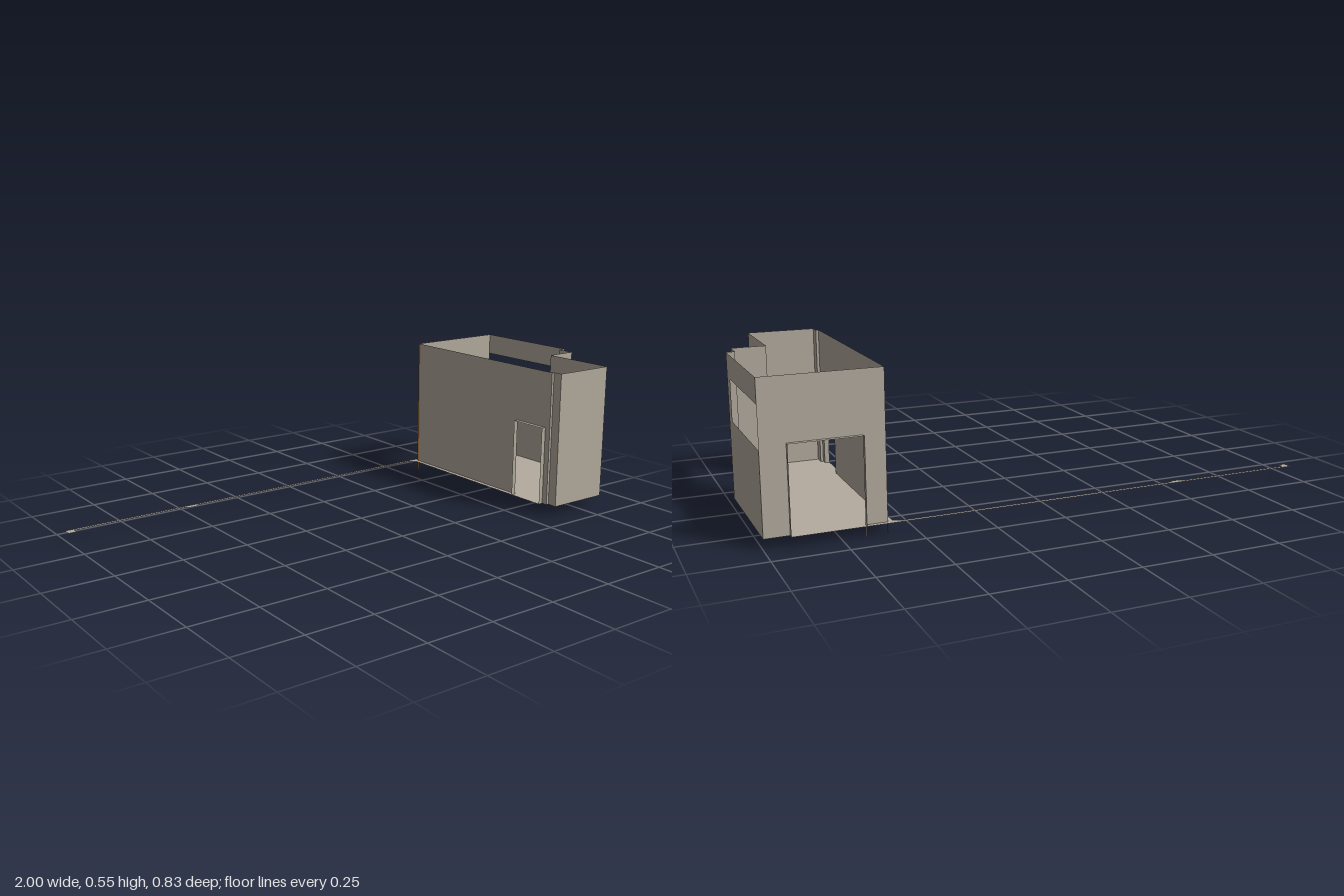
import * as THREE from 'three';

const FLOOR = 0.038, TOP = 0.55, DOOR = 0.337;

export function createModel() {
  const group = new THREE.Group();
  const plaster = new THREE.MeshStandardMaterial({ color: 0xb4ab9e, side: THREE.DoubleSide });
  plaster.name = 'warm grey plaster';
  const orange = new THREE.MeshStandardMaterial({ color: 0xc98a45, side: THREE.DoubleSide });
  orange.name = 'orange trim';

  // Flat panel from 2D points; place() maps (u, v) into the room
  function panel(name, pts, place, material = plaster) {
    const shape = new THREE.Shape(pts.map(([u, v]) => new THREE.Vector2(u, v)));
    const geo = new THREE.ShapeGeometry(shape);
    const pos = geo.attributes.position;
    for (let i = 0; i < pos.count; i++) pos.setXYZ(i, ...place(pos.getX(i), pos.getY(i)));
    geo.computeVertexNormals();
    const mesh = new THREE.Mesh(geo, material);
    mesh.name = name;
    group.add(mesh);
  }
  const rect = (a, b, y0 = FLOOR, y1 = TOP) => [[a, y0], [b, y0], [b, y1], [a, y1]];
  const alongX = z => (u, v) => [u, v, z];
  const alongZ = x => (u, v) => [x, v, u];
  const level = y => (u, v) => [u, y, v];
  // Wall with a doorway reaching the floor
  const doorWall = (a, b, d0, d1, h) => [
    [a, FLOOR], [d0, FLOOR], [d0, h], [d1, h], [d1, FLOOR], [b, FLOOR], [b, TOP], [a, TOP]];

  // Floor and the long narrow threshold strip
  panel('floor', [[0.577, -0.4], [1, -0.4], [1, 0.052], [0.97, 0.052], [0.97, 0.122],
    [0.85, 0.122], [0.85, 0.417], [0.605, 0.417], [0.605, 0.38], [0.595, 0.38],
    [0.595, 0.357], [0.577, 0.357]], level(FLOOR));
  panel('thresholdStrip', [[-1, -0.417], [0.915, -0.417], [0.915, -0.4], [0.577, -0.4],
    [0.577, -0.39], [0.565, -0.392], [0.55, -0.403], [-0.475, -0.403], [-0.49, -0.393],
    [-0.515, -0.393], [-0.53, -0.403], [-0.97, -0.403], [-0.97, -0.382], [-1, -0.382]], level(FLOOR));

  // Back wall with doorway and its reveal
  panel('backWall', doorWall(0.595, 1, 0.67, 0.915, DOOR), alongX(-0.4));
  panel('backDoorJamb', rect(-0.417, -0.4, 0, DOOR), alongZ(0.67));
  panel('backDoorJamb', rect(-0.417, -0.4, FLOOR, DOOR), alongZ(0.915));
  panel('backDoorHead', rect(0.67, 0.915, -0.417, -0.4), level(DOOR));

  // Right wall with doorway and its reveal
  panel('rightWall', doorWall(-0.39, 0.38, 0.208, 0.357, DOOR), alongZ(0.595));
  for (const z of [0.208, 0.357]) panel('sideDoorJamb', rect(0.577, 0.595, FLOOR, DOOR), alongX(z));
  panel('sideDoorHead', rect(0.577, 0.595, 0.208, 0.357), level(DOOR));
  panel('cornerTrim', rect(-0.4, -0.39, 0, TOP), alongZ(0.595), orange);
  panel('rightWallStep', rect(0.595, 0.605), alongX(0.38));
  panel('rightWallEnd', rect(0.38, 0.417), alongZ(0.605));

  // Front wall and the stepped left side
  panel('frontWall', rect(0.605, 0.85), alongX(0.417));
  panel('wideOpeningWall', doorWall(0.122, 0.417, 0.14, 0.413, 0.43), alongZ(0.85));
  panel('recessWall', rect(0.85, 0.97), alongX(0.122));
  panel('pierWall', rect(0.052, 0.122), alongZ(0.97));
  panel('pierReturn', rect(0.97, 1), alongX(0.052));

  // Left wall, window running into the back corner
  panel('windowWall', [[0.052, FLOOR], [-0.4, FLOOR], [-0.4, 0.322], [0.002, 0.322],
    [0.002, 0.466], [-0.4, 0.466], [-0.4, TOP], [0.052, TOP]], alongZ(1));

  return group;
}
